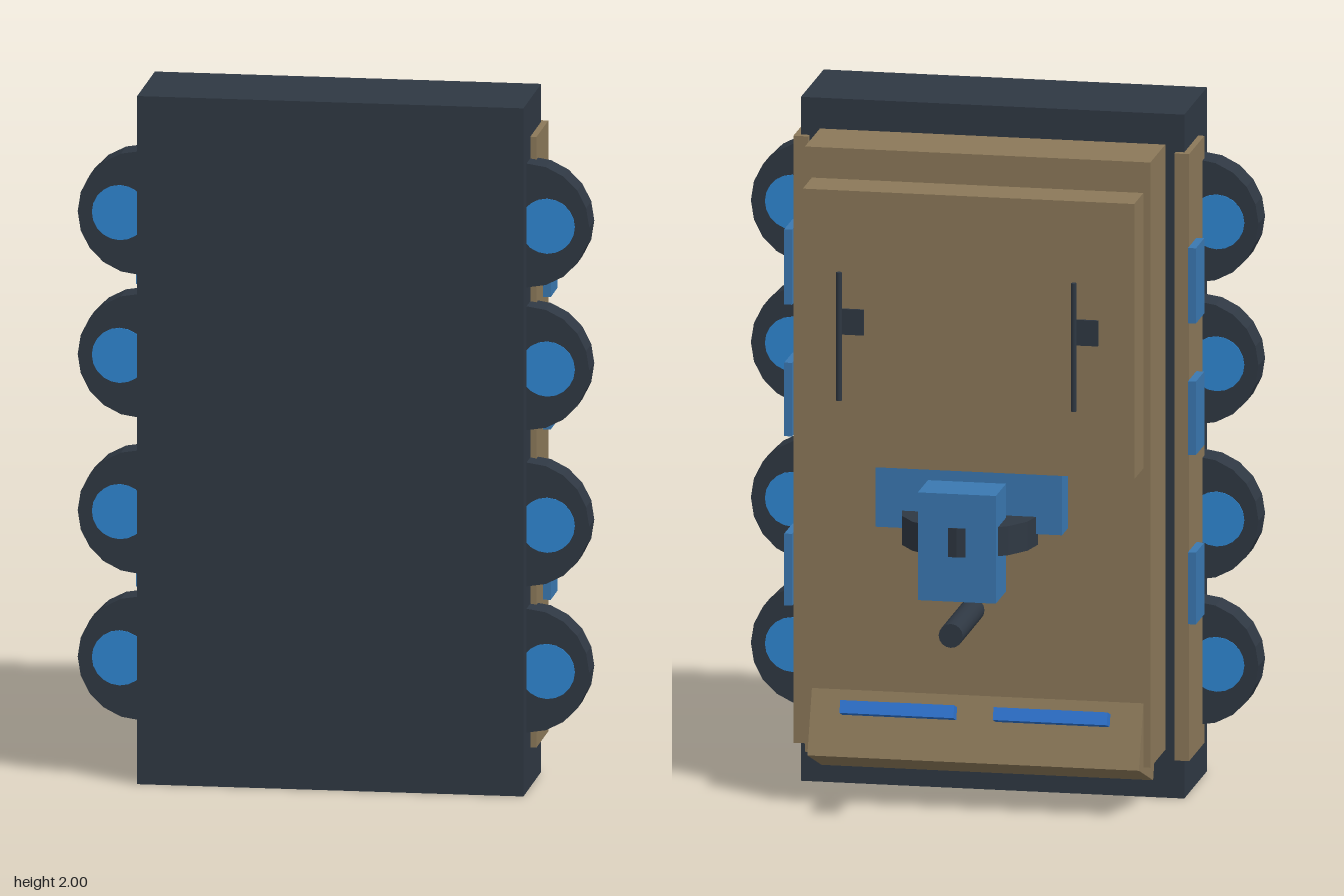
import * as THREE from 'three';

const mat = (name, color) => {
  const m = new THREE.MeshStandardMaterial({ color });
  m.name = name;
  return m;
};

export function createModel() {
  const model = new THREE.Group();
  model.name = 'armouredVehicle';
  const tan = mat('tan', 0x8b7859);
  const dark = mat('darkSlate', 0x2f3843);
  const blue = mat('steelBlue', 0x3a78b1);
  const hubBlue = mat('hubBlue', 0x2f87d3);
  const lightBlue = mat('lightBlue', 0x2f74d0);

  const add = (name, geometry, material, x, y, z) => {
    const mesh = new THREE.Mesh(geometry, material);
    mesh.name = name;
    mesh.position.set(x, y, z);
    model.add(mesh);
    return mesh;
  };
  // Box given by its lower and upper limits on each axis
  const box = (name, material, [x0, x1], [y0, y1], [z0, z1]) =>
    add(name, new THREE.BoxGeometry(x1 - x0, y1 - y0, z1 - z0), material,
      (x0 + x1) / 2, (y0 + y1) / 2, (z0 + z1) / 2);
  // Faceted cylinder, along y or along z
  const cylinder = (name, material, r, length, sides, alongZ, x, y, z) => {
    const g = new THREE.CylinderGeometry(r, r, length, sides);
    if (alongZ) g.rotateX(Math.PI / 2);
    return add(name, g.toNonIndexed(), material, x, y, z);
  };
  const flat = (mesh) => {
    mesh.geometry.computeVertexNormals();
    return mesh;
  };

  // Stacked body
  box('chassis', dark, [-0.555, 0.555], [0, 2], [0.14, 0.475]);
  box('hull', tan, [-0.5, 0.5], [0.14, 1.91], [-0.08, 0.16]);
  box('upperDeck', tan, [-0.48, 0.48], [1.015, 1.82], [-0.215, -0.07]);

  // Tilted end plate
  const tilt = 0.355;
  add('slopedPlate', new THREE.BoxGeometry(0.96, 0.3, 0.224), tan, 0, 0.248, 0.01)
    .rotation.x = tilt;

  // Gun station
  box('gunBase', blue, [-0.27, 0.27], [0.84, 1.02], [-0.21, -0.12]);
  flat(cylinder('gunRing', dark, 0.197, 0.085, 16, false, 0, 0.848, -0.195));
  box('gunHousing', blue, [-0.113, 0.113], [0.675, 0.99], [-0.387, -0.237]);
  cylinder('gunBarrel', dark, 0.035, 0.32, 16, true, 0, 0.597, -0.317);

  for (const s of [-1, 1]) {
    const side = s > 0 ? 'left' : 'right';
    const span = (a, b) => (s > 0 ? [a, b] : [-b, -a]);

    // Side skirt with its panels
    box(side + 'Skirt', tan, span(0.53, 0.573), [0.115, 1.89], [0.12, 0.345]);
    for (const [y0, y1] of [[0.52, 0.73], [1.015, 1.23], [1.4, 1.62]])
      box(side + 'SidePanel', blue, span(0.573, 0.596), [y0, y1], [0.102, 0.227]);

    // Wheels with hubs showing on both faces
    for (const y of [0.353, 0.778, 1.232, 1.647]) {
      flat(cylinder(side + 'Wheel', dark, 0.18, 0.097, 20, true, s * 0.555, y, 0.367));
      cylinder(side + 'Hub', hubBlue, 0.08, 0.103, 20, true, s * 0.614, y, 0.367);
    }

    // Light bar, hatch and aerial
    add(side + 'LightBar', new THREE.BoxGeometry(0.33, 0.037, 0.055), lightBlue,
      s * 0.222, 0.283, -0.116).rotation.x = tilt;
    box(side + 'Hatch', dark, span(0.302, 0.376), [1.4, 1.475], [-0.222, -0.213]);
    cylinder(side + 'Aerial', dark, 0.008, 0.375, 8, false, s * 0.34, 1.437, -0.393);
  }
  return model;
}
